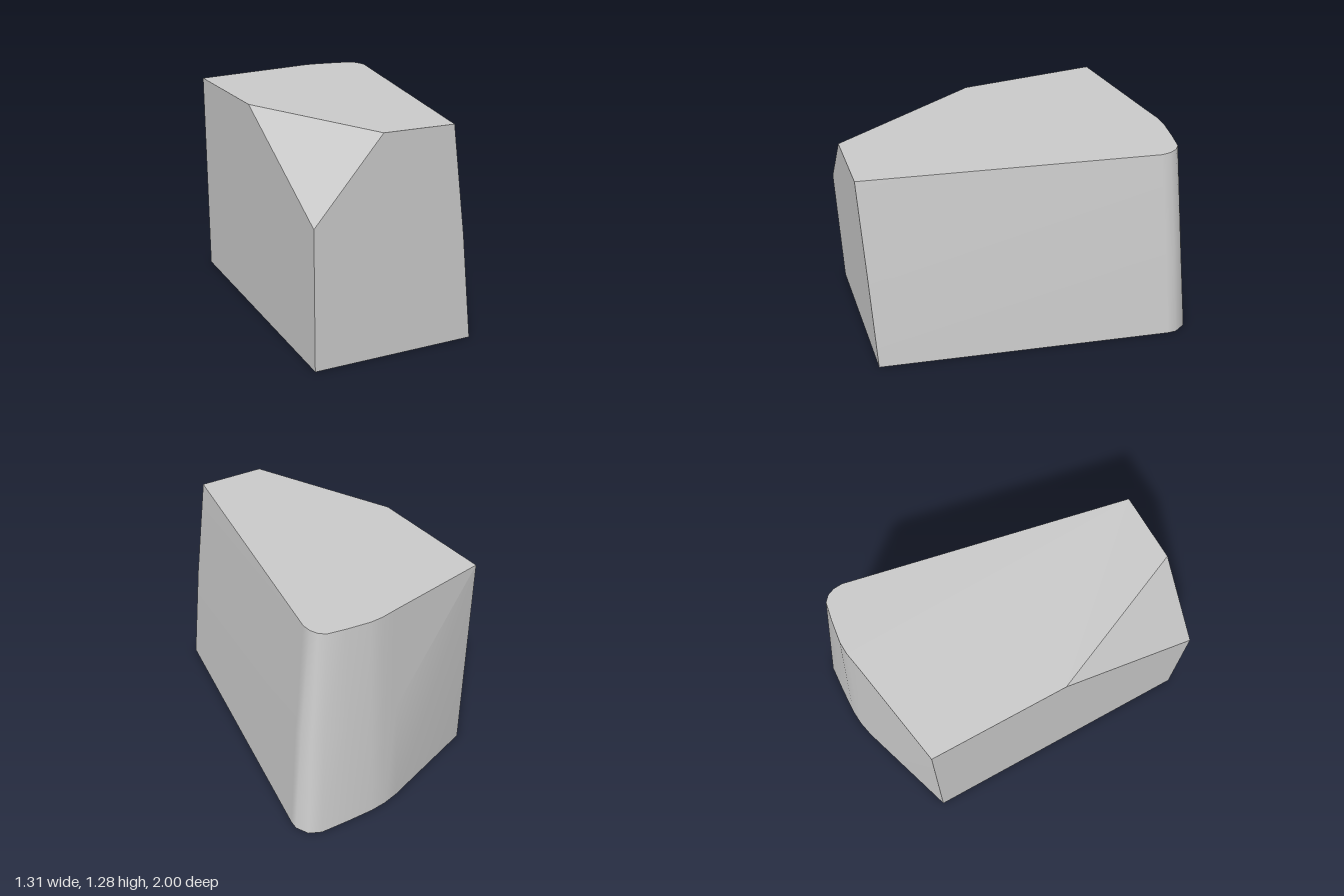
import * as THREE from 'three';

const H = 1.285;
const L = -0.655; // flat left plane

// Matching outline points [x, z]: front edge, along the sloped side, round the back corner
const base = [[0.32, 1], [0.65, -0.82], [0.653, -0.875], [0.615, -0.95], [0.545, -0.985],
  [0.37, -0.995], [0.2, -1], [0.1, -0.992], [0, -0.97], [L, -0.757]];
const crown = [[0.172, 1], [0.505, -0.73], [0.5, -0.785], [0.48, -0.83], [0.445, -0.86],
  [0.33, -0.88], [0.19, -0.897], [0.11, -0.893], [0, -0.872], [L, -0.757]];

const material = new THREE.MeshStandardMaterial({ color: 0xcccccc });

function geometryFrom(points, index) {
  const g = new THREE.BufferGeometry();
  g.setAttribute('position', new THREE.Float32BufferAttribute(points.flat(), 3));
  g.setIndex(index);
  g.computeVertexNormals();
  return g;
}

function addMesh(group, name, points, index) {
  const mesh = new THREE.Mesh(geometryFrom(points, index), material);
  mesh.name = name;
  group.add(mesh);
}

// Flat convex face, corners counter-clockwise from outside
function addFace(group, name, points) {
  const index = [];
  for (let i = 1; i < points.length - 1; i++) index.push(0, i, i + 1);
  addMesh(group, name, points, index);
}

export function createModel() {
  const group = new THREE.Group();
  group.name = 'taperedBlock';

  const n = base.length;
  const bottom = base.map(([x, z]) => [x, 0, z]);
  const top = crown.map(([x, z]) => [x, H, z]);
  // Middle section bulges slightly on the side; its last point meets the top
  // corner so the end of the back wall folds into a flat triangle
  const middle = bottom.map(([x, , z], i) => i === n - 1 ? top[i] : [
    (x + top[i][0]) / 2 + (i < 4 ? 0.009 : 0), H / 2, (z + top[i][2]) / 2]);

  // Smooth wall round the side and back
  const index = [];
  for (let r = 0; r < 2; r++) {
    for (let i = 0; i < n - 1; i++) {
      const a = r * n + i, b = a + 1, c = b + n, d = a + n;
      index.push(a, b, c, a, c, d);
    }
  }
  addMesh(group, 'curvedWall', [...bottom, ...middle, ...top], index);

  // Corners of the sliced-off front corner
  const cutLow = [L, 0.817, 1], cutFront = [-0.255, H, 1], cutBack = [L, H, 0.085];
  const foot = [L, 0, 1];

  addFace(group, 'topFace', [...top, cutBack, cutFront]);
  addFace(group, 'bottomFace', [...bottom, foot].reverse());
  addFace(group, 'frontFace', [foot, bottom[0], middle[0], top[0], cutFront, cutLow]);
  addFace(group, 'flatSideFace', [bottom[n - 1], foot, cutLow, cutBack, top[n - 1]]);
  addFace(group, 'cornerCut', [cutLow, cutFront, cutBack]);
  return group;
}
